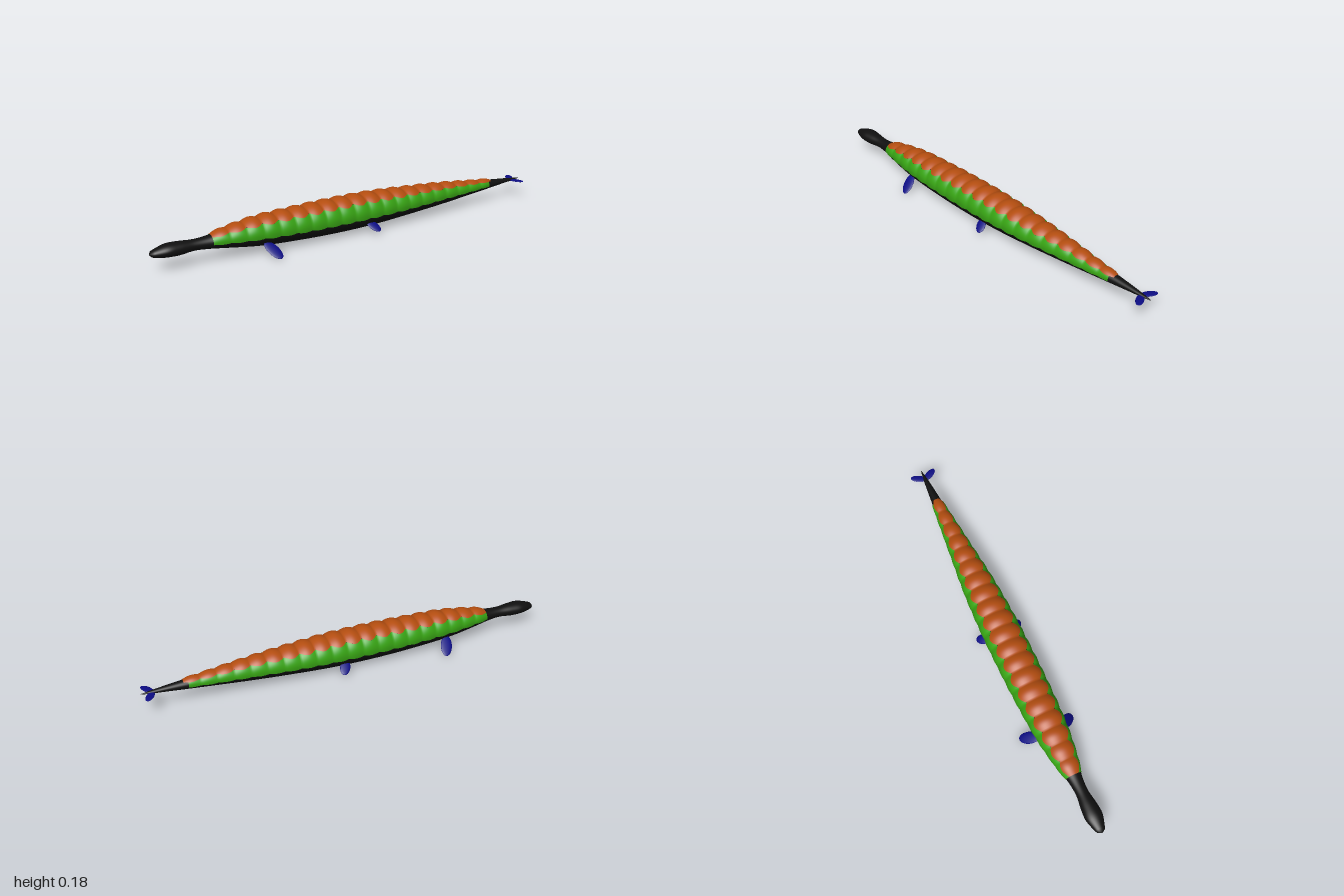
import * as THREE from 'three';

// Body sections: x, centre height, vertical radius, side radius
const SECTIONS = [
  [-1, 0.092, 0.001, 0.002], [-0.995, 0.092, 0.010, 0.016], [-0.965, 0.093, 0.021, 0.029],
  [-0.92, 0.096, 0.029, 0.041], [-0.87, 0.095, 0.030, 0.038], [-0.8, 0.095, 0.025, 0.029],
  [-0.73, 0.094, 0.030, 0.035], [-0.65, 0.096, 0.043, 0.053], [-0.5, 0.095, 0.063, 0.074],
  [-0.3, 0.092, 0.073, 0.085], [-0.1, 0.091, 0.078, 0.088], [0.1, 0.091, 0.075, 0.086],
  [0.3, 0.091, 0.063, 0.076], [0.5, 0.091, 0.050, 0.056], [0.7, 0.090, 0.031, 0.036],
  [0.8, 0.090, 0.022, 0.025], [0.9, 0.090, 0.012, 0.015], [0.96, 0.089, 0.006, 0.008],
  [1, 0.089, 0.001, 0.001],
];

// Smoothly interpolated section at x (cubic Hermite)
function sectionAt(x) {
  const n = SECTIONS.length;
  let k = 0;
  while (k < n - 2 && x > SECTIONS[k + 1][0]) k++;
  const a = SECTIONS[k], b = SECTIONS[k + 1];
  const p = SECTIONS[Math.max(k - 1, 0)], q = SECTIONS[Math.min(k + 2, n - 1)];
  const h = b[0] - a[0], t = (x - a[0]) / h;
  return [1, 2, 3].map((c) => {
    const m0 = ((b[c] - p[c]) / (b[0] - p[0])) * h;
    const m1 = ((q[c] - a[c]) / (q[0] - a[0])) * h;
    const t2 = t * t, t3 = t2 * t;
    return (2 * t3 - 3 * t2 + 1) * a[c] + (t3 - 2 * t2 + t) * m0
      + (3 * t2 - 2 * t3) * b[c] + (t3 - t2) * m1;
  });
}

// Surface along x between two angles measured from the top of the back
function loft(x0, x1, nx, na, from, to, lift) {
  const pos = [], idx = [];
  for (let i = 0; i <= nx; i++) {
    const x = x0 + ((x1 - x0) * i) / nx;
    const [cy, ry, rz] = sectionAt(x);
    for (let j = 0; j <= na; j++) {
      const a = from(x) + ((to(x) - from(x)) * j) / na;
      const d = lift(x, a);
      pos.push(x, cy + (ry + d) * Math.cos(a), (rz + d) * Math.sin(a));
      if (i < nx && j < na) {
        const v = i * (na + 1) + j, w = v + na + 1;
        idx.push(v, v + 1, w, w, v + 1, w + 1);
      }
    }
  }
  const g = new THREE.BufferGeometry();
  g.setAttribute('position', new THREE.Float32BufferAttribute(pos, 3));
  g.setIndex(idx);
  g.computeVertexNormals();
  return g;
}

export function createModel() {
  const group = new THREE.Group();
  const make = (name, color) => Object.assign(
    new THREE.MeshStandardMaterial({ color }), { name });
  const black = make('black skin', 0x101010);
  const orange = make('orange back', 0xb54e10);
  const green = make('green flank', 0x38a514);
  const navy = make('navy fins', 0x0c0c84);
  orange.side = green.side = THREE.DoubleSide;

  const add = (name, geo, mat) => {
    const m = new THREE.Mesh(geo, mat);
    m.name = name;
    group.add(m);
    return m;
  };

  // Head, belly and tail in one skin
  add('body', loft(-1, 1, 200, 40, () => -Math.PI, () => Math.PI, () => 0), black);

  // Overlapping scutes along the back and flanks
  const START = -0.72, END = 0.81, COUNT = 20;
  const bump = (x) => Math.abs(Math.sin(((x - START) / (END - START)) * COUNT * Math.PI));
  const lift = (x, a) => 0.002 + bump(x) * (0.003 + 0.008 * Math.max(0, Math.cos(a)))
    * Math.min(1, 0.4 + sectionAt(x)[1] * 9);
  const edge = (x) => 0.64 + 0.24 * bump(x);
  const hem = (x) => 1.69 + 0.06 * bump(x);
  add('backScutes', loft(START, END, COUNT * 12, 20, (x) => -edge(x), edge, lift), orange);
  add('leftFlank', loft(START, END - 0.02, COUNT * 12, 12, edge, hem, lift), green);
  add('rightFlank', loft(START, END - 0.02, COUNT * 12, 12,
    (x) => -hem(x), (x) => -edge(x), lift), green);

  // Flat oval fin running from root to tip, its broad side lying along x
  function fin(name, root, tip, width, thick) {
    const a = new THREE.Vector3(...root), b = new THREE.Vector3(...tip);
    const along = b.clone().sub(a), len = along.length() / 2;
    along.normalize();
    const across = new THREE.Vector3(1, 0, 0).addScaledVector(along, -along.x).normalize();
    const normal = across.clone().cross(along);
    const m = add(name, new THREE.SphereGeometry(1, 24, 16).scale(width, len, thick), navy);
    m.quaternion.setFromRotationMatrix(new THREE.Matrix4().makeBasis(across, along, normal));
    m.position.copy(a).add(b).multiplyScalar(0.5);
  }

  for (const s of [1, -1]) {
    const side = s > 0 ? 'left' : 'right';
    fin(side + 'FrontFin', [-0.485, 0.062, 0.055 * s], [-0.442, 0.003, 0.137 * s], 0.028, 0.006);
    fin(side + 'HindFin', [0.045, 0.058, 0.055 * s], [0.083, 0.018, 0.115 * s], 0.024, 0.006);
    fin(side + 'TailFluke', [0.945, 0.088, -0.004 * s], [0.984, 0.088, 0.063 * s], 0.018, 0.004);
  }
  return group;
}
